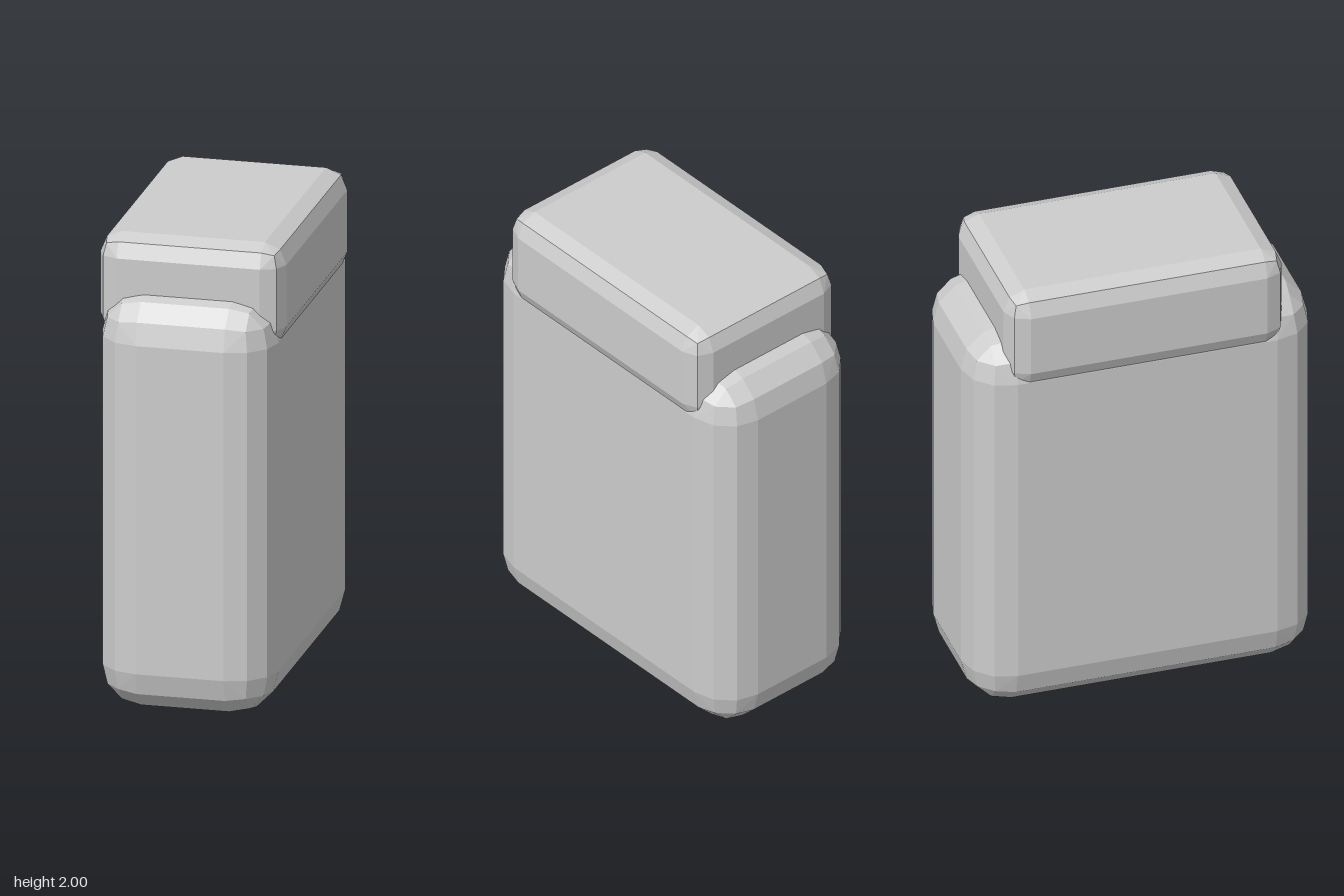
import * as THREE from 'three';
import { ConvexGeometry } from 'three/addons/geometries/ConvexGeometry.js';

// Box with rounded edges of n flat facets: the hull of eight faceted sphere corners.
function bevelledBox(w, h, d, r, n) {
  const half = [w / 2 - r, h / 2 - r, d / 2 - r];
  const points = new Map();
  const tangents = [];
  for (let i = 0; i <= Math.floor(n / 2); i++) tangents.push(Math.tan((i * Math.PI) / (2 * n)));
  for (const sx of [-1, 1]) for (const sy of [-1, 1]) for (const sz of [-1, 1]) {
    for (let axis = 0; axis < 3; axis++) for (const a of tangents) for (const b of tangents) {
      const c = [0, 0, 0];
      c[axis] = 1;
      c[(axis + 1) % 3] = a;
      c[(axis + 2) % 3] = b;
      const p = new THREE.Vector3(...c).normalize().multiplyScalar(r);
      p.set(sx * (p.x + half[0]), sy * (p.y + half[1]), sz * (p.z + half[2]));
      points.set(p.toArray().map((v) => v.toFixed(5)).join(), p);
    }
  }
  return new ConvexGeometry([...points.values()]);
}

export function createModel() {
  const group = new THREE.Group();
  group.name = 'liddedBox';
  const grey = new THREE.MeshStandardMaterial({ color: 0xcccccc });
  grey.name = 'light grey';
  grey.flatShading = true;

  const add = (name, geometry, y) => {
    const mesh = new THREE.Mesh(geometry, grey);
    mesh.name = name;
    mesh.position.y = y;
    group.add(mesh);
  };

  // Tall body with broad three-facet bevels
  add('body', bevelledBox(0.74, 1.775, 1.48, 0.185, 3), 1.775 / 2);
  // Slightly wider, shorter lid sunk over the top of the body
  add('lid', bevelledBox(0.78, 0.445, 1.19, 0.09, 2), 2 - 0.445 / 2);

  return group;
}
